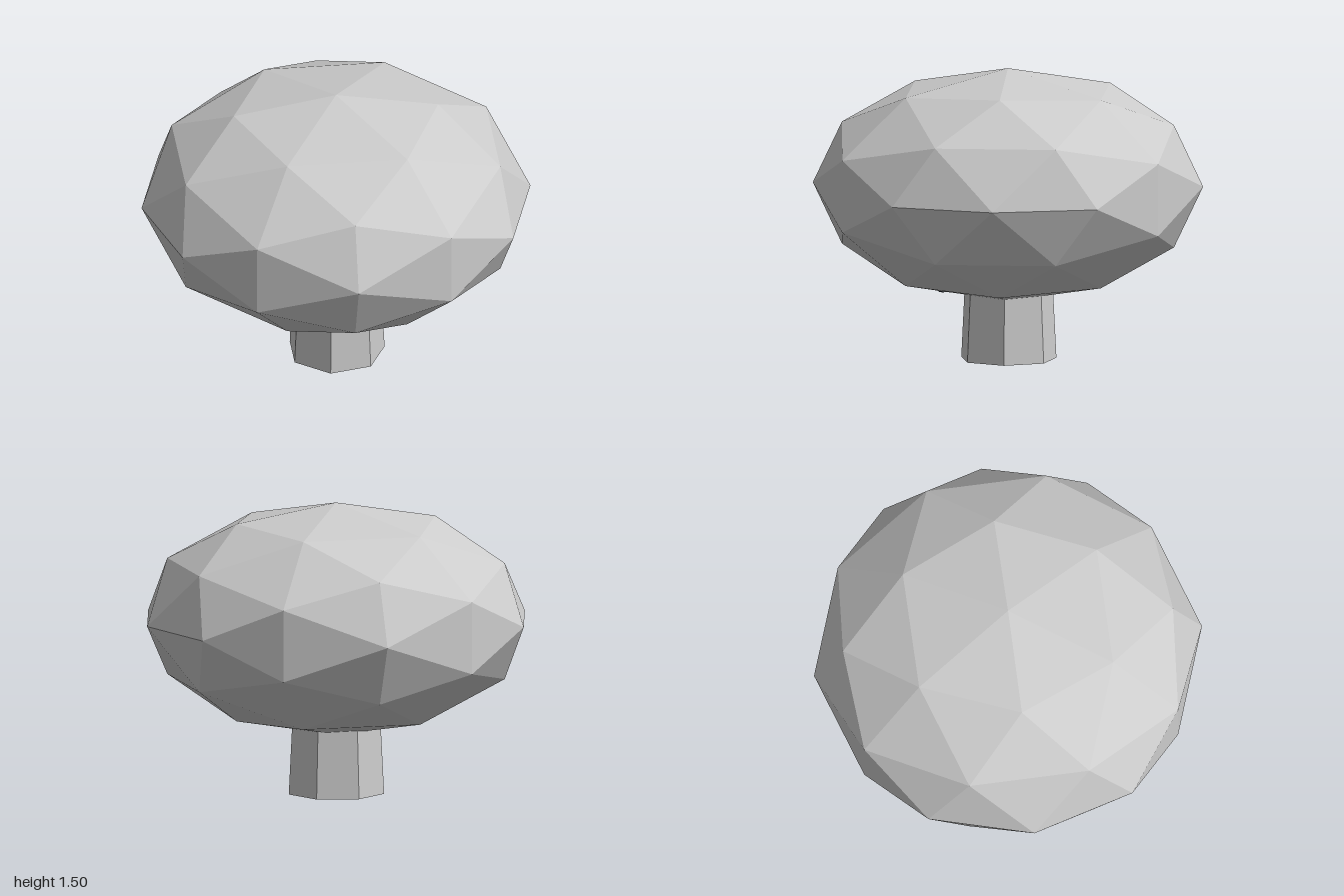
import * as THREE from 'three';

export function createModel() {
  const model = new THREE.Group();
  const grey = new THREE.MeshStandardMaterial({ color: 0xcccccc, flatShading: true });
  const dark = new THREE.MeshStandardMaterial({ color: 0x2f3640 });

  function add(name, geometry, material, x, y, z) {
    const mesh = new THREE.Mesh(geometry, material);
    mesh.name = name;
    mesh.position.set(x, y, z);
    model.add(mesh);
    return mesh;
  }

  // Faceted, flattened canopy
  const canopy = new THREE.IcosahedronGeometry(1, 1);
  canopy.scale(1, 0.6, 1);
  add('canopy', canopy, grey, 0, 0.9, 0);

  // Seven-sided tapering trunk with one corner on +x
  const trunk = new THREE.CylinderGeometry(0.22, 0.25, 0.6, 7, 1, false, Math.PI / 2);
  add('trunk', trunk, grey, 0, 0.3, 0);

  // Small face sunk into the underside of the canopy
  for (const side of [-1, 1]) {
    add(side > 0 ? 'leftEye' : 'rightEye', new THREE.SphereGeometry(0.05, 12, 8), dark, side * 0.18, 0.415, 0.32);
  }
  const mouth = add('mouth', new THREE.TorusGeometry(0.045, 0.015, 8, 16, Math.PI), dark, 0, 0.405, 0.32);
  mouth.rotation.z = Math.PI;

  return model;
}
